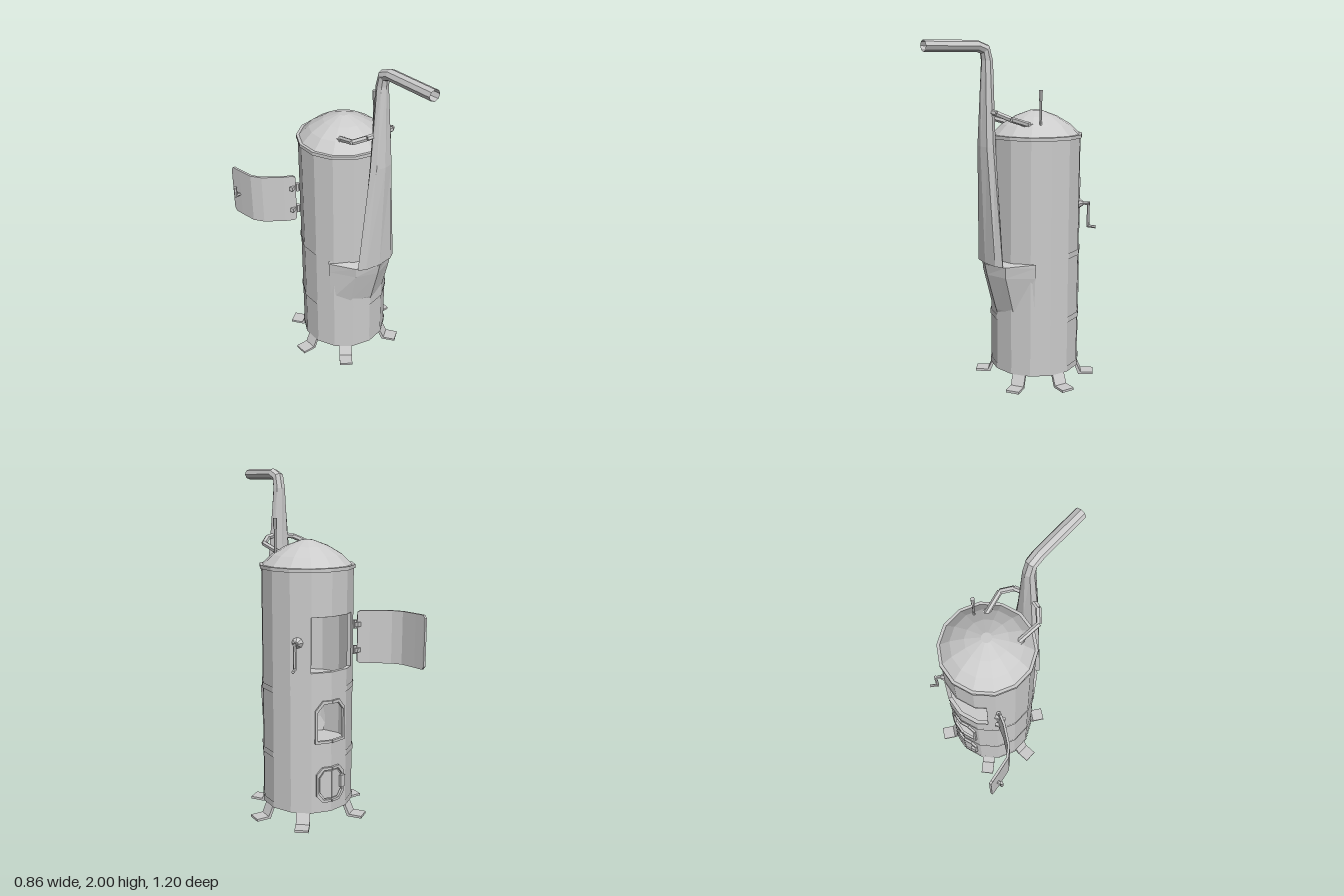
import * as THREE from 'three';

const SIDES = 14, R = 0.265, CX = 0.07, CZ = -0.105;
const STEP = (2 * Math.PI) / SIDES;
const rad = THREE.MathUtils.degToRad;
const V = (x, y, z) => new THREE.Vector3(x, y, z);
const mat = new THREE.MeshStandardMaterial({ color: 0xcccccc, flatShading: true, side: THREE.DoubleSide });

function add(parent, name, geo, x = 0, y = 0, z = 0) {
  const m = new THREE.Mesh(geo, mat);
  m.name = name;
  m.position.set(x, y, z);
  parent.add(m);
  return m;
}

// Surface through rows of points; closed joins the last column to the first
function loft(rows, closed = false) {
  const n = rows[0].length, pos = [];
  for (let i = 0; i < rows.length - 1; i++) {
    for (let j = 0; j < (closed ? n : n - 1); j++) {
      const k = (j + 1) % n;
      const [a, b, c, d] = [rows[i][j], rows[i][k], rows[i + 1][k], rows[i + 1][j]];
      for (const p of [a, b, c, a, c, d]) pos.push(p.x, p.y, p.z);
    }
  }
  const g = new THREE.BufferGeometry();
  g.setAttribute('position', new THREE.Float32BufferAttribute(pos, 3));
  g.computeVertexNormals();
  return g;
}

// Points along the many-sided wall; angle 0 is the back, growing towards -x
function arc(r, a0, a1, y) {
  const angles = [a0];
  for (let k = Math.floor(a0 / STEP + 1.001); k * STEP < a1 - 0.001; k++) angles.push(k * STEP);
  angles.push(a1);
  return angles.map((a) => {
    const off = a - Math.floor(a / STEP + 1e-6) * STEP - STEP / 2;
    const rr = (r * Math.cos(STEP / 2)) / Math.cos(off);
    return V(-rr * Math.sin(a), y, -rr * Math.cos(a));
  });
}
const wall = (a0, a1, y0, y1) => loft([arc(R, a0, a1, y0), arc(R, a0, a1, y1)]);

const shape = (pts) => new THREE.Shape(pts.map(([x, y]) => new THREE.Vector2(x, y)));

// Mirrored pair of pieces lying on the two rear facets
function onBack(parent, name, pts, depth) {
  for (const s of [1, -1]) {
    const side = new THREE.Group();
    side.scale.x = s;
    const geo = depth
      ? new THREE.ExtrudeGeometry(shape(pts), { depth, bevelEnabled: false }).translate(0, 0, -depth * 0.8)
      : new THREE.ShapeGeometry(shape(pts));
    add(side, name, geo, 0, 0, -R).rotation.y = -STEP / 2;
    parent.add(side);
  }
}

// Straight round bar between two points
function bar(parent, name, a, b, r, sides = 6) {
  const d = b.clone().sub(a);
  const m = add(parent, name, new THREE.CylinderGeometry(r, r, d.length(), sides));
  m.position.copy(a).addScaledVector(d, 0.5);
  m.quaternion.setFromUnitVectors(V(0, 1, 0), d.normalize());
  return m;
}

function buildBody() {
  const g = new THREE.Group();
  g.name = 'body';
  g.position.set(CX, 0, CZ);

  // Shell, leaving the loading opening and the rear window free
  const full = 2 * Math.PI, o0 = rad(-26), o1 = rad(40);
  add(g, 'lowerShell', wall(0, full, 0.075, 0.4));
  add(g, 'middleShell', wall(STEP, full - STEP, 0.4, 0.785));
  add(g, 'upperShellBelowDoor', wall(0, full, 0.785, 0.9));
  add(g, 'upperShellBesideDoor', wall(o1, full + o0, 0.9, 1.21));
  add(g, 'upperShellAboveDoor', wall(0, full, 1.21, 1.465));
  const w = 2 * R * Math.sin(STEP / 2);
  onBack(g, 'windowWall', [[0, 0.4], [w, 0.4], [w, 0.785], [0, 0.785], [0, 0.72], [0.045, 0.72],
    [0.083, 0.675], [0.083, 0.505], [0, 0.505]]);
  onBack(g, 'windowFrame', [[0, 0.49], [0.098, 0.49], [0.098, 0.682], [0.053, 0.737], [0, 0.737],
    [0, 0.72], [0.045, 0.72], [0.083, 0.675], [0.083, 0.505], [0, 0.505]], 0.016);

  // Reveal around the loading opening
  const loop = (r) => [...arc(r, o0, o1, 0.9), ...arc(r, o0, o1, 1.21).reverse()];
  add(g, 'doorReveal', loft([loop(R + 0.004), loop(R - 0.02)], true));

  // Inner floors
  for (const y of [0.4, 0.79]) add(g, 'innerFloor', new THREE.CylinderGeometry(R - 0.003, R - 0.003, 0.008, SIDES), 0, y, 0);

  // Ash hatch at the bottom of the back
  const hatch = (k, h) => [[0, 0.24 - h], [k * 0.6, 0.24 - h], [k, 0.28 - h], [k, 0.2 + h], [k * 0.6, 0.24 + h], [0, 0.24 + h]];
  onBack(g, 'hatchFrame', [...hatch(0.09, 0.105), ...hatch(0.076, 0.09).reverse()], 0.018);
  onBack(g, 'hatchDoor', hatch(0.07, 0.082), 0.01);
  add(g, 'hatchLatch', new THREE.BoxGeometry(0.035, 0.07, 0.016), -0.075, 0.245, -R - 0.002).rotation.y = STEP / 2;

  // Raised bands
  for (const [y, h] of [[0.093, 0.036], [0.4, 0.034], [0.785, 0.034]])
    add(g, 'band', new THREE.CylinderGeometry(R + 0.005, R + 0.005, h, SIDES, 1, true), 0, y, 0);

  // Domed lid with its rim
  const profile = [[0.26, 1.455], [0.274, 1.455], [0.274, 1.475], [0.257, 1.475], [0.2, 1.53], [0.12, 1.577], [0.03, 1.61], [0, 1.61]];
  add(g, 'domeLid', new THREE.LatheGeometry(profile.map(([x, y]) => new THREE.Vector2(x, y)), SIDES));

  // Six bent strap legs
  const strap = shape([[0.235, 0.09], [0.25, 0.09], [0.285, 0.014], [0.36, 0.014], [0.36, 0], [0.272, 0]]);
  for (const a of [0, 54, 126, 180, 234, 306]) {
    const geo = new THREE.ExtrudeGeometry(strap, { depth: 0.08, bevelEnabled: false }).translate(0, 0, -0.04);
    add(g, 'leg', geo).rotation.y = rad(a);
  }

  // Crank on the side
  const crank = new THREE.Group();
  crank.name = 'crank';
  crank.rotation.y = rad(47);
  add(crank, 'crankBoss', new THREE.CylinderGeometry(0.012, 0.035, 0.03, 8), 0.27, 1.07, 0).rotation.z = -Math.PI / 2;
  bar(crank, 'crankAxle', V(0.26, 1.07, 0), V(0.322, 1.07, 0), 0.01);
  bar(crank, 'crankArm', V(0.315, 1.08, 0), V(0.315, 0.93, 0), 0.009);
  bar(crank, 'crankGrip', V(0.308, 0.935, 0), V(0.36, 0.93, 0), 0.009);
  g.add(crank);
  return g;
}

function buildDuct() {
  const g = new THREE.Group();
  g.name = 'duct';

  // Eight-sided tapering chimney bending forward: [y, z, half width, half depth, tilt]
  const sections = [[0.74, 0.203, 0.137, 0.037, 0], [1.42, 0.225, 0.076, 0.04, 0], [1.89, 0.218, 0.036, 0.033, 0],
    [1.95, 0.232, 0.035, 0.033, 45], [1.968, 0.28, 0.035, 0.032, 90], [1.968, 0.6, 0.035, 0.032, 90]];
  add(g, 'chimney', loft(sections.map(([y, z, w, h, t]) => Array.from({ length: 8 }, (_, i) => {
    const a = (i * Math.PI) / 4, f = h * Math.cos(a);
    return V(CX + w * Math.sin(a), y - f * Math.sin(rad(t)), z + f * Math.cos(rad(t)));
  })), true));

  // Hopper at its foot, blending into the shell: [y, side z, half width, corner z, corner x, front z]
  const hopper = [[0.4, 0.04, 0.2, 0.1, 0.11, 0.15], [0.45, 0.04, 0.215, 0.125, 0.125, 0.168],
    [0.67, 0.04, 0.225, 0.18, 0.13, 0.228], [0.735, 0.04, 0.23, 0.185, 0.135, 0.242]];
  const rows = hopper.map(([y, sz, w, cz, cx, fz]) =>
    [V(CX - w, y, sz), V(CX - cx, y, cz), V(CX, y, fz), V(CX + cx, y, cz), V(CX + w, y, sz)]);
  const top = rows[3].map((p) => V(p.x, 0.755, Math.min(p.z, 0.1)));
  add(g, 'hopper', loft([...rows, top]));

  // Two curved brackets from chimney to lid
  for (const s of [1, -1]) {
    const pts = [V(CX + s * 0.115, 1.53, 0.0), V(CX + s * 0.14, 1.575, 0.15), V(CX + s * 0.085, 1.605, 0.205), V(CX + s * 0.02, 1.615, 0.222)];
    for (let i = 0; i < 3; i++) bar(g, 'bracket', pts[i], pts[i + 1], 0.016);
    add(g, 'bracketFoot', new THREE.BoxGeometry(0.05, 0.025, 0.05), CX + s * 0.115, 1.53, 0.01);
  }
  return g;
}

function buildDoor() {
  const g = new THREE.Group();
  g.name = 'door';

  // Curved panel standing open, with clipped corners: [x, z, inset]
  const path = [[-0.165, -0.272, 0.012], [-0.18, -0.279, 0], [-0.23, -0.304, 0], [-0.333, -0.378, 0],
    [-0.371, -0.432, 0], [-0.388, -0.528, 0], [-0.396, -0.585, 0], [-0.397, -0.6, 0.018]];
  const rows = path.map(([x, z, c], i) => {
    const p = path[Math.max(i - 1, 0)], q = path[Math.min(i + 1, path.length - 1)];
    const n = new THREE.Vector2(q[1] - p[1], p[0] - q[0]).normalize().multiplyScalar(0.007);
    const corner = (s, y) => V(x + s * n.x, y, z + s * n.y);
    return [corner(1, 0.9 + c), corner(-1, 0.9 + c), corner(-1, 1.21 - c), corner(1, 1.21 - c)];
  });
  const cap = (row) => row.map(() => row[0].clone().add(row[2]).multiplyScalar(0.5));
  add(g, 'doorPanel', loft([cap(rows[0]), ...rows, cap(rows[rows.length - 1])], true));

  // Hinges and latch handle
  for (const y of [0.98, 1.13]) {
    add(g, 'hingePin', new THREE.CylinderGeometry(0.013, 0.013, 0.05, 6), -0.155, y, -0.267);
    add(g, 'hingeStrap', new THREE.BoxGeometry(0.06, 0.025, 0.02), -0.175, y, -0.278).rotation.y = 0.42;
  }
  bar(g, 'doorHandleStem', V(-0.385, 1.04, -0.54), V(-0.43, 1.04, -0.54), 0.01);
  bar(g, 'doorHandleGrip', V(-0.425, 1.03, -0.54), V(-0.425, 1.1, -0.54), 0.01);
  return g;
}

export function createModel() {
  const model = new THREE.Group();
  model.name = 'stove';
  model.add(buildBody(), buildDuct(), buildDoor());

  // Upright gauge rod on the lid
  bar(model, 'gaugeRod', V(0.233, 1.52, -0.03), V(0.233, 1.68, -0.03), 0.007);
  add(model, 'gaugeHead', new THREE.CylinderGeometry(0.012, 0.01, 0.06, 6), 0.233, 1.7, -0.03);
  return model;
}
